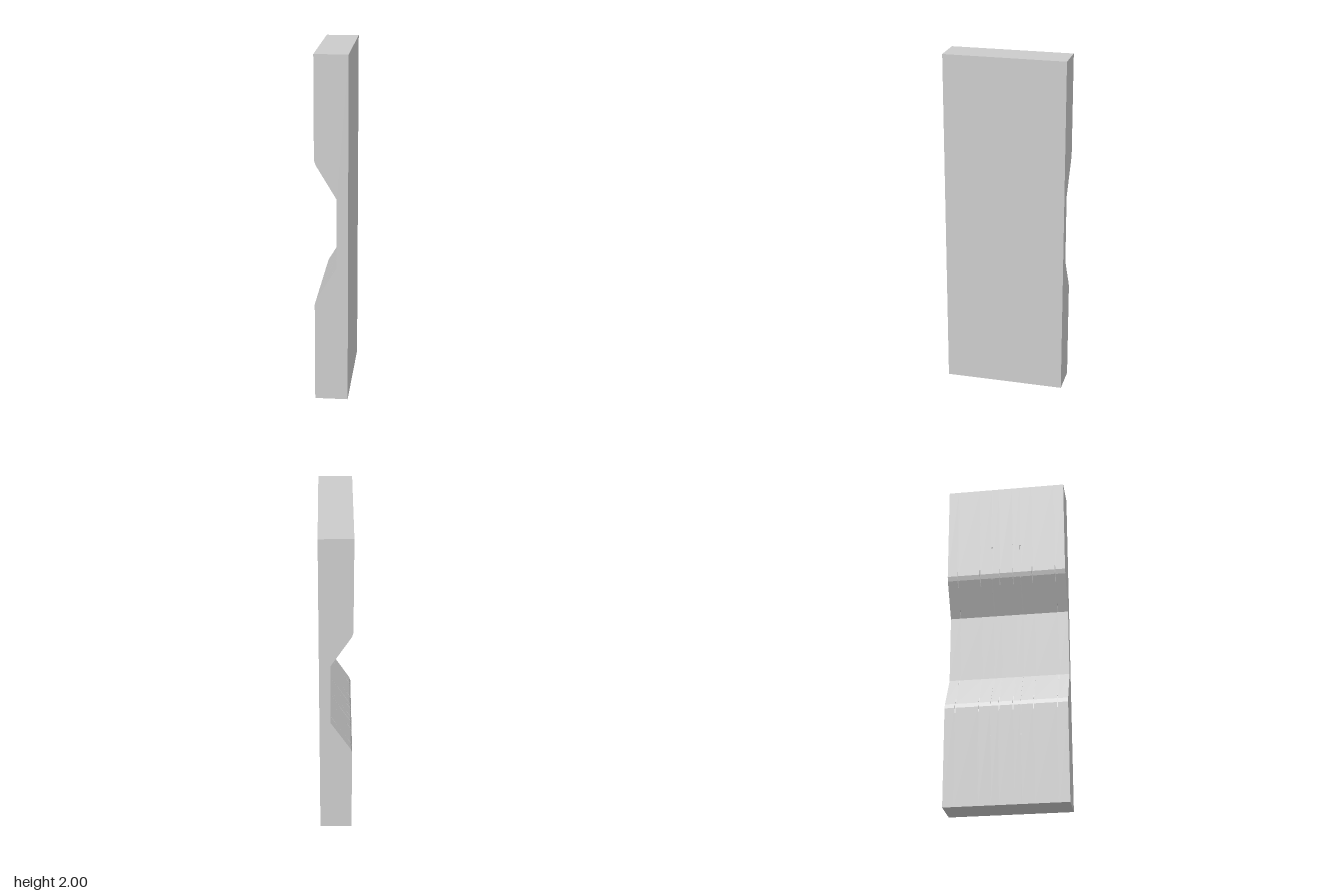
import * as THREE from 'three';

const HALF_WIDTH = 0.094, HALF_DEPTH = 0.35;

// Notched edge from the top end down to the recess floor; mirrored about y = 1
const EDGES = {
  plain: [[-0.094, 2], [-0.094, 1.42], [-0.086, 1.393], [0.03, 1.2]],
  seam: [[-0.094, 2], [-0.094, 1.6], [-0.09, 1.595], [-0.09, 1.42], [-0.081, 1.39], [0.03, 1.2]],
  nick: [[-0.094, 2], [-0.094, 1.45], [-0.084, 1.405], [-0.064, 1.356], [0.03, 1.2]],
  outerNick: [[-0.094, 2], [-0.094, 1.45], [-0.084, 1.405], [-0.064, 1.356],
    [0.0025, 1.245], [0.014, 1.235], [0.03, 1.2]],
};

// Thin grooves cut across the notch, given as distance from the middle
const GROOVES = [
  { z: 0.04, kind: 'nick' },
  { z: 0.085, kind: 'seam' },
  { z: 0.155, kind: 'nick' },
  { z: 0.29, kind: 'outerNick' },
];
const GROOVE_WIDTH = 0.005;

export function createModel() {
  const group = new THREE.Group();
  group.name = 'notchedPanel';
  const material = new THREE.MeshStandardMaterial({ color: 0xcccccc, flatShading: true });

  // One slice of the panel, extruded along z
  const addSlice = (name, kind, z0, z1) => {
    const upper = EDGES[kind];
    const lower = [...upper].reverse().map(([x, y]) => [x, 2 - y]);
    const outline = [[HALF_WIDTH, 2], ...upper, ...lower, [HALF_WIDTH, 0]];
    const shape = new THREE.Shape(outline.map(([x, y]) => new THREE.Vector2(x, y)));
    const geometry = new THREE.ExtrudeGeometry(shape, { depth: z1 - z0, bevelEnabled: false });
    geometry.translate(0, 0, z0);
    const mesh = new THREE.Mesh(geometry, material);
    mesh.name = name;
    group.add(mesh);
  };

  // Alternate full slices with grooved ones from back to front
  const cuts = GROOVES.flatMap(({ z, kind }) => [{ z: -z, kind }, { z, kind }])
    .sort((a, b) => a.z - b.z);
  let start = -HALF_DEPTH;
  for (const { z, kind } of cuts) {
    const z0 = z - GROOVE_WIDTH / 2, z1 = z + GROOVE_WIDTH / 2;
    addSlice('panelSection', 'plain', start, z0);
    addSlice(kind === 'seam' ? 'seamGroove' : 'edgeNick', kind, z0, z1);
    start = z1;
  }
  addSlice('panelSection', 'plain', start, HALF_DEPTH);
  return group;
}
